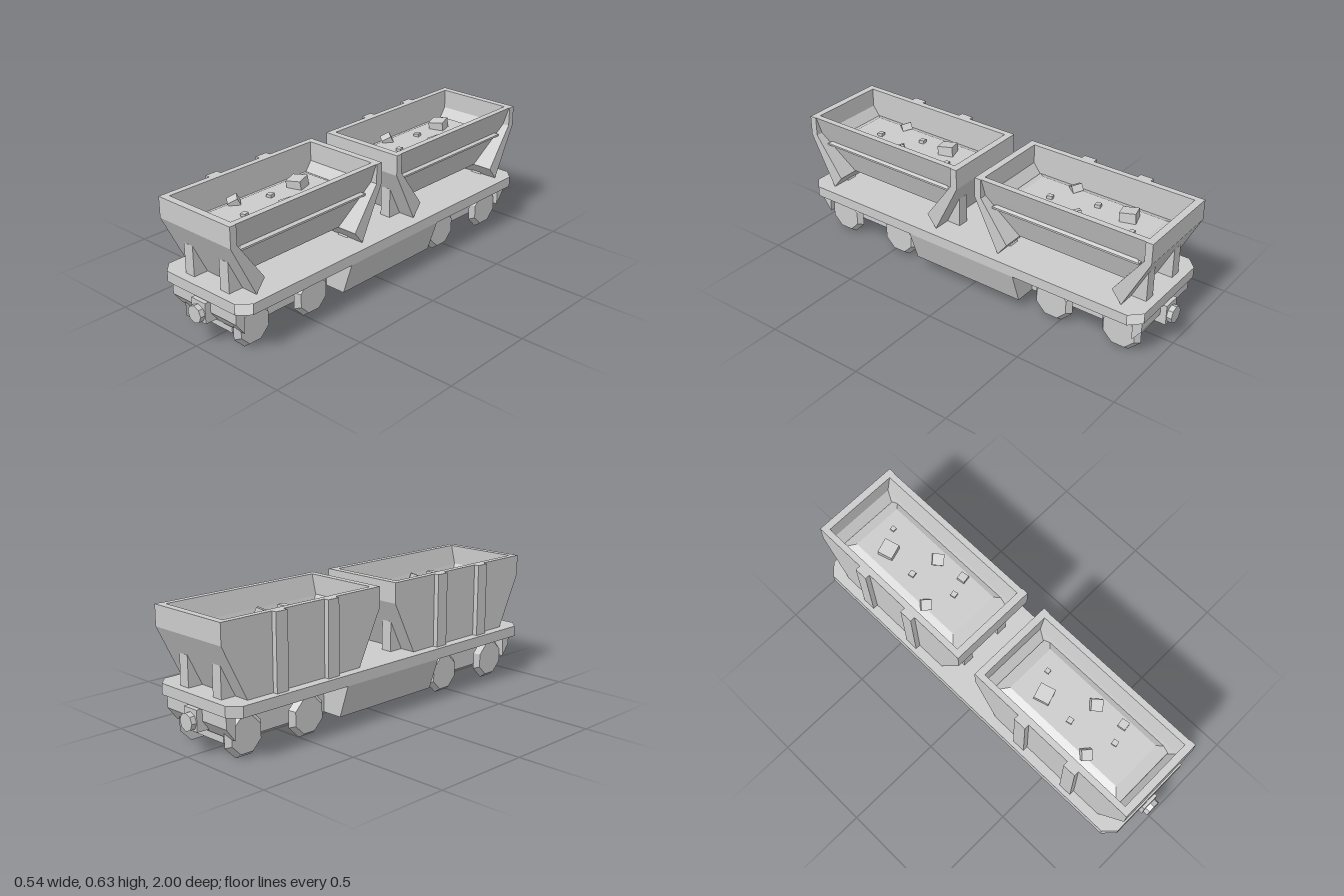
import * as THREE from 'three';

const mat = new THREE.MeshStandardMaterial({ color: 0xcccccc, flatShading: true, side: THREE.DoubleSide });

function add(parent, name, geometry, x = 0, y = 0, z = 0) {
  const mesh = new THREE.Mesh(geometry, mat);
  mesh.name = name;
  mesh.position.set(x, y, z);
  parent.add(mesh);
  return mesh;
}

// Box given by its limits on each axis
function block(parent, name, x0, x1, y0, y1, z0, z1) {
  return add(parent, name, new THREE.BoxGeometry(x1 - x0, y1 - y0, z1 - z0),
    (x0 + x1) / 2, (y0 + y1) / 2, (z0 + z1) / 2);
}

const shapeOf = (pts) => new THREE.Shape(pts.map(([a, b]) => new THREE.Vector2(a, b)));

const extrude = (pts, depth) =>
  new THREE.ExtrudeGeometry(shapeOf(pts), { depth, bevelEnabled: false });

// Extrudes a [z, y] profile across x0..x1
const acrossX = (pts, x0, x1) => extrude(pts, x1 - x0).rotateY(-Math.PI / 2).translate(x1, 0, 0);

// Extrudes an [x, y] profile along z, centred
const alongZ = (pts, length) => extrude(pts, length).translate(0, 0, -length / 2);

// Deck plate with cut corners; the two corner faces on the +x side are left open
function buildDeck(parent) {
  const deck = new THREE.Group();
  deck.name = 'deck';
  const X = 0.272, Z = 0.96, c = 0.053;
  const pts = [[X, Z - c], [X, c - Z], [X - c, -Z], [c - X, -Z], [-X, c - Z], [-X, Z - c], [c - X, Z], [X - c, Z]];
  const plate = new THREE.ShapeGeometry(shapeOf(pts.map(([x, z]) => [x, -z]))).rotateX(-Math.PI / 2);
  add(deck, 'deckTop', plate, 0, 0.272, 0);
  add(deck, 'deckUnderside', plate, 0, 0.22, 0);
  const open = [1, 7];
  pts.forEach(([x, z], i) => {
    if (open.includes(i)) return;
    const [x2, z2] = pts[(i + 1) % pts.length];
    const side = new THREE.PlaneGeometry(Math.hypot(x2 - x, z2 - z), 0.052);
    const m = add(deck, 'deckEdge', side, (x + x2) / 2, 0.246, (z + z2) / 2);
    m.rotation.y = Math.atan2(z - z2, x2 - x);
  });
  parent.add(deck);
}

function buildHopper() {
  const g = new THREE.Group();
  g.name = 'hopper';

  // Upright side wall with two ribs
  const outline = [[0.46, 0.63], [0.46, 0.53], [0.33, 0.272], [-0.33, 0.272], [-0.46, 0.53], [-0.46, 0.63]];
  add(g, 'plainSideWall', acrossX(outline, -0.225, -0.195));
  for (const z of [-0.155, 0.145]) block(g, 'sideRib', -0.25, -0.222, 0.272, 0.63, z - 0.033, z + 0.033);

  // Sloping end walls with a pair of posts each
  const end = [[0.46, 0.63], [0.46, 0.53], [0.33, 0.272], [0.28, 0.335], [0.425, 0.535], [0.425, 0.63]];
  for (const s of [1, -1]) {
    add(g, 'endWall', acrossX(end.map(([z, y]) => [s * z, y]), -0.2, 0.223));
    const post = [[0.405, 0.272], [0.405, 0.42], [0.39, 0.42], [0.32, 0.272]].map(([z, y]) => [s * z, y]);
    for (const x of [-0.117, 0.108]) add(g, 'endPost', acrossX(post, x - 0.028, x + 0.028));
  }

  // Inward sloping side panel, narrowing towards the chute
  const panel = alongZ([[0.22, 0.63], [0.187, 0.53], [0.12, 0.335], [0.1, 0.335], [0.165, 0.53], [0.19, 0.63]], 0.86);
  const p = panel.attributes.position;
  for (let i = 0; i < p.count; i++) {
    if (p.getY(i) < 0.4) p.setZ(i, Math.sign(p.getZ(i)) * 0.285);
  }
  add(g, 'slopingSidePanel', panel);

  // Load: flat-topped heap with bevelled rim
  const load = new THREE.BoxGeometry(0.385, 0.03, 0.77);
  const q = load.attributes.position;
  for (let i = 0; i < q.count; i++) {
    if (q.getY(i) > 0) q.setXYZ(i, q.getX(i) * 0.68, q.getY(i), q.getZ(i) * 0.85);
  }
  add(g, 'load', load, 0, 0.505, 0);
  block(g, 'loadEdge', -0.19, 0.1925, 0.482, 0.491, -0.385, 0.385);

  // Loose lumps: x, z, size, turn
  const lumps = [[-0.05, -0.19, 0.075, 0.3], [0.08, 0.01, 0.055, 0.75], [0.045, -0.26, 0.022, 0.1],
    [-0.055, -0.025, 0.027, 0.2], [-0.12, 0.135, 0.05, 0.9], [0.098, 0.16, 0.04, 0.15], [0.01, 0.19, 0.026, 0.2]];
  for (const [x, z, s, turn] of lumps) {
    const m = add(g, 'lump', new THREE.BoxGeometry(s, s * 0.7, s), x, 0.52 + s * 0.2, z);
    m.rotation.set(turn * 0.3, turn, turn * 0.3);
  }
  return g;
}

// Octagonal wheel, narrower on its outer face; axis along x
function buildWheel(side) {
  const k = 1 / Math.cos(Math.PI / 8);
  const geo = new THREE.CylinderGeometry(0.08 * k, 0.1 * k, 0.026, 8, 1, false, Math.PI / 8);
  return geo.rotateZ(-side * Math.PI / 2);
}

export function createModel() {
  const model = new THREE.Group();
  model.name = 'hopperWagon';

  // Underframe
  buildDeck(model);
  add(model, 'middleBody', alongZ([[-0.272, 0.22], [0.272, 0.22], [0.22, 0.062], [-0.22, 0.062]], 0.61));
  block(model, 'centreBeam', -0.113, 0.113, 0.062, 0.22, -0.89, 0.89);

  // Wheels and axles
  for (const z of [-0.82, -0.46, 0.46, 0.82]) {
    for (const s of [1, -1]) add(model, 'wheel', buildWheel(s), s * 0.169, 0.1, z);
    add(model, 'axle', new THREE.CylinderGeometry(0.03, 0.03, 0.32, 8).rotateZ(Math.PI / 2), 0, 0.1, z);
  }

  // Cross beams and couplers at both ends
  for (const s of [1, -1]) {
    const end = new THREE.Group();
    end.name = s > 0 ? 'frontEnd' : 'backEnd';
    const beam = [[0.945, 0.217], [0.945, 0.16], [0.9, 0.1], [0.895, 0.217]];
    add(end, 'endBeam', acrossX(beam, -0.205, 0.205));
    block(end, 'couplerBlock', -0.044, 0.044, 0.115, 0.215, 0.9, 0.975);
    add(end, 'coupler', new THREE.CylinderGeometry(0.042, 0.042, 0.03, 8).rotateX(Math.PI / 2), 0, 0.157, 0.985);
    if (s < 0) end.rotation.y = Math.PI;
    model.add(end);
  }

  // Two hoppers in line
  for (const z of [0.51, -0.515]) {
    const hopper = buildHopper();
    hopper.position.z = z;
    model.add(hopper);
  }
  return model;
}
